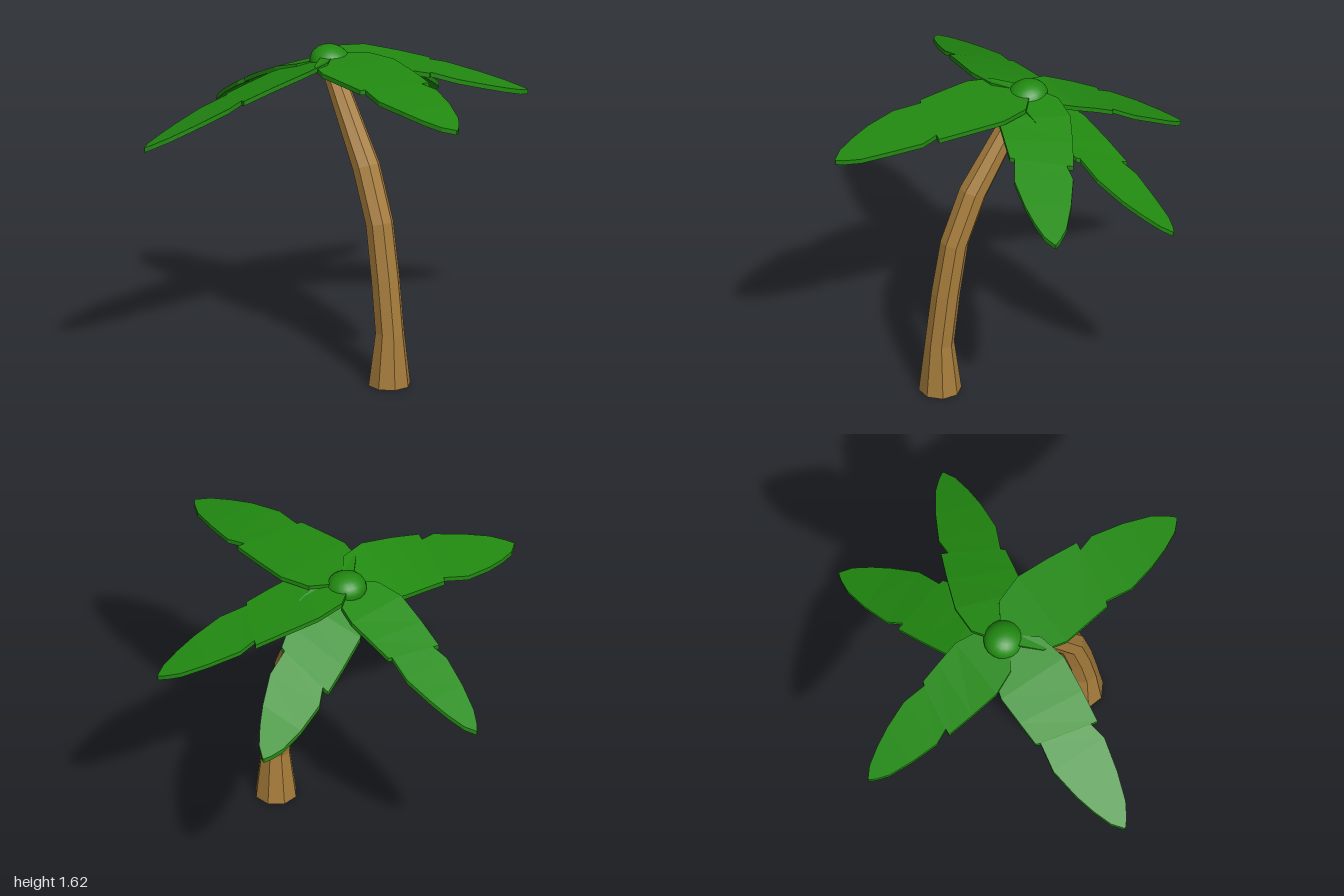
import * as THREE from 'three';

const bark = new THREE.MeshStandardMaterial({ color: 0xa67c3b, flatShading: true });
const green = new THREE.MeshStandardMaterial({ color: 0x228b11, flatShading: true });
const crownGreen = new THREE.MeshStandardMaterial({ color: 0x228b11 });

// Closed, faceted skin through a row of equally sized rings of points
function skin(rings) {
  const pos = [];
  const tri = (...pts) => pts.forEach((p) => pos.push(...p));
  const n = rings[0].length;
  for (let i = 0; i < rings.length - 1; i++) {
    const a = rings[i], b = rings[i + 1];
    for (let j = 0; j < n; j++) {
      const k = (j + 1) % n;
      tri(a[j], b[j], b[k]);
      tri(a[j], b[k], a[k]);
    }
  }
  const first = rings[0], last = rings[rings.length - 1];
  for (let j = 1; j < n - 1; j++) {
    tri(first[0], first[j], first[j + 1]);
    tri(last[0], last[j + 1], last[j]);
  }
  const geo = new THREE.BufferGeometry();
  geo.setAttribute('position', new THREE.Float32BufferAttribute(pos, 3));
  geo.computeVertexNormals();
  return geo;
}

function addMesh(group, name, geo, mat) {
  const mesh = new THREE.Mesh(geo, mat);
  mesh.name = name;
  group.add(mesh);
  return mesh;
}

// Trunk sections: centre x, centre y, radius, lean angle
const TRUNK = [
  [0.39, 0, 0.106, 0],
  [0.393, 0.27, 0.073, 0.05],
  [0.358, 0.54, 0.072, 0.14],
  [0.31, 0.815, 0.07, 0.22],
  [0.203, 1.08, 0.07, 0.38],
  [-0.04, 1.46, 0.054, 0.58],
  [-0.08, 1.52, 0.052, 0.58],
];
const CENTRE = { x: -0.1, z: -0.06 };

function trunkGeometry() {
  return skin(TRUNK.map(([x, y, r, lean]) => Array.from({ length: 8 }, (_, j) => {
    const t = ((j + 0.5) / 8) * Math.PI * 2;
    const u = r * Math.cos(t);
    return [x + u * Math.cos(lean), y + u * Math.sin(lean), CENTRE.z + r * Math.sin(t)];
  })));
}

// Frond outline with a notch on each edge: left [along, out], right [along, out]
const OUTLINE = [
  [0, 0.04, 0, 0.04],
  [0.09, 0.17, 0.1, 0.165],
  [0.23, 0.215, 0.21, 0.2],
  [0.4, 0.2, 0.35, 0.187],
  [0.55, 0.18, 0.467, 0.175],
  [0.542, 0.14, 0.477, 0.15],
  [0.626, 0.165, 0.61, 0.172],
  [0.78, 0.127, 0.76, 0.137],
  [0.907, 0.08, 0.86, 0.1],
  [0.97, 0.035, 0.95, 0.055],
  [1, 0.004, 1, 0.004],
];

// Fronds: tip position, heights along the spine, width scale, sideways bank
const FRONDS = [
  { name: 'leftFrond', tip: [0.97, -0.035], heights: [1.58, 1.58, 1.565, 1.535, 1.485], width: 1, bank: 0 },
  { name: 'rightFrond', tip: [-0.98, -0.05], heights: [1.56, 1.49, 1.38, 1.255, 1.115], width: 0.8, bank: 0 },
  { name: 'frontFrond', tip: [-0.21, 0.995], heights: [1.565, 1.52, 1.455, 1.37, 1.285], width: 0.86, bank: 0.3 },
  { name: 'backRightFrond', tip: [-0.41, -0.965], heights: [1.56, 1.48, 1.37, 1.245, 1.14], width: 0.82, bank: -0.3 },
  { name: 'backLeftFrond', tip: [0.28, -1], heights: [1.58, 1.545, 1.475, 1.39, 1.3], width: 0.86, bank: 0 },
];

function frondGeometry({ tip, heights, width, bank }) {
  const dx = tip[0] - CENTRE.x, dz = tip[1] - CENTRE.z;
  const len = Math.hypot(dx, dz);
  const thick = 0.024;
  // Point at a share of the length, offset to the frond's left
  const point = (s, out, drop) => {
    const i = Math.min(3, Math.floor(s * 4));
    const y = THREE.MathUtils.lerp(heights[i], heights[i + 1], s * 4 - i);
    return [
      CENTRE.x + dx * s + (dz / len) * out,
      y + bank * out - drop,
      CENTRE.z + dz * s - (dx / len) * out,
    ];
  };
  return skin(OUTLINE.map(([sl, wl, sr, wr]) => [
    point(sr, -wr * width, 0),
    point(sl, wl * width, 0),
    point(sl, wl * width, thick),
    point(sr, -wr * width, thick),
  ]));
}

export function createModel() {
  const model = new THREE.Group();
  model.name = 'palmTree';
  addMesh(model, 'trunk', trunkGeometry(), bark);
  for (const frond of FRONDS) addMesh(model, frond.name, frondGeometry(frond), green);

  // Rounded bud where the fronds meet
  const crown = addMesh(model, 'crownBud', new THREE.SphereGeometry(0.1, 20, 14), crownGreen);
  crown.scale.set(1.05, 0.8, 1);
  crown.rotation.z = -0.2;
  crown.position.set(-0.1, 1.54, -0.07);
  return model;
}
